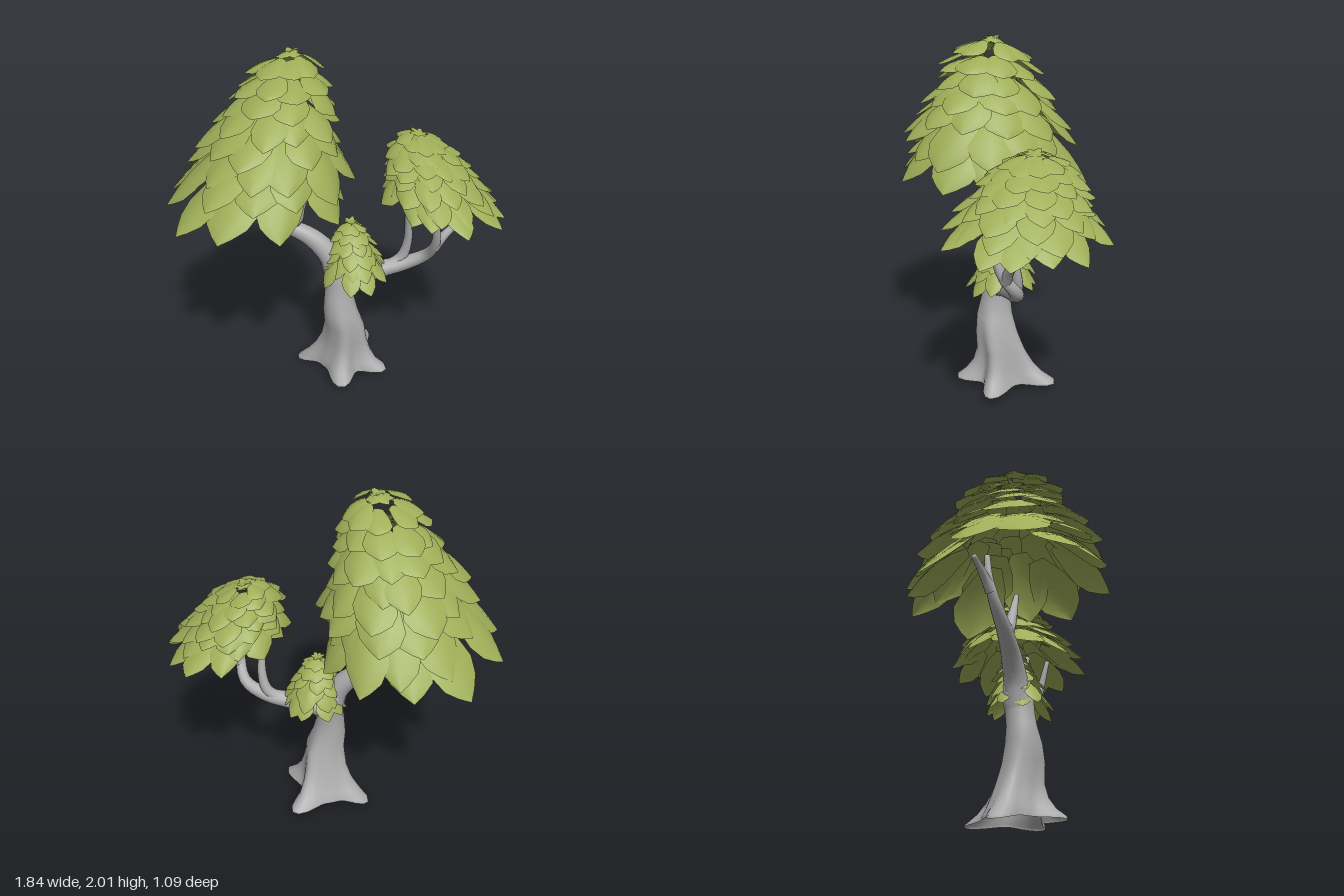
import * as THREE from 'three';
import { mergeGeometries } from 'three/addons/utils/BufferGeometryUtils.js';

const lerp = THREE.MathUtils.lerp;

function seeded(seed) {
  return () => {
    seed = (seed * 16807) % 2147483647;
    return seed / 2147483647;
  };
}

// Grid of points (rows of Vector3) to a smooth surface
function gridGeometry(rows, wrap) {
  const n = rows[0].length, pos = [], index = [];
  rows.forEach(row => row.forEach(p => pos.push(p.x, p.y, p.z)));
  for (let i = 0; i < rows.length - 1; i++) {
    for (let j = 0; j < (wrap ? n : n - 1); j++) {
      const a = i * n + j, b = i * n + (j + 1) % n;
      index.push(a, b, a + n, b, b + n, a + n);
    }
  }
  const g = new THREE.BufferGeometry();
  g.setAttribute('position', new THREE.Float32BufferAttribute(pos, 3));
  g.setIndex(index);
  g.computeVertexNormals();
  return g;
}

// Trunk: hollow round rings that spread into four root lobes at the ground
function trunkGeometry() {
  const roots = [[0.26, 0.16, 0], [-0.02, 0.3, 0], [-0.27, -0.07, 0.045], [0.18, -0.25, 0]];
  // y, centre x, centre z, radius, root spread
  const levels = [
    [0.045, 0, 0, 0.15, 1], [0.06, 0, 0, 0.15, 0.97],
    [0.1, 0, 0.01, 0.14, 0.62], [0.16, 0.01, 0.02, 0.128, 0.36], [0.24, 0.015, 0.035, 0.116, 0.2],
    [0.35, 0.015, 0.06, 0.11, 0.1], [0.45, -0.01, 0.068, 0.1, 0.03], [0.55, -0.02, 0.06, 0.085, 0],
    [0.64, -0.015, 0.05, 0.082, 0], [0.71, -0.02, 0.04, 0.088, 0], [0.78, -0.04, 0.03, 0.07, 0],
    [0.82, -0.06, 0.03, 0, 0],
  ];
  const sides = 48;
  const rows = levels.map(([y, cx, cz, r, spread]) => {
    const row = [];
    for (let j = 0; j < sides; j++) {
      const a = j / sides * Math.PI * 2;
      let radius = r, dip = 0;
      for (const [rx, rz, low] of roots) {
        let d = a - Math.atan2(-rz, rx);
        d = Math.atan2(Math.sin(d), Math.cos(d));
        const lobe = Math.exp(-((d / 0.36) ** 2)) * spread;
        radius += lobe * (Math.hypot(rx, rz) - 0.15);
        dip += lobe * low;
      }
      row.push(new THREE.Vector3(cx + Math.cos(a) * radius, y - dip, cz - Math.sin(a) * radius));
    }
    return row;
  });
  return gridGeometry(rows, true);
}

// Branch: tapering tube along a curve, rounded off at the tip
function branchGeometry(points, r0, r1) {
  const curve = new THREE.CatmullRomCurve3(points.map(p => new THREE.Vector3(...p)));
  const steps = 24, sides = 12;
  const { normals, binormals } = curve.computeFrenetFrames(steps);
  const rows = [];
  for (let i = 0; i <= steps + 1; i++) {
    const k = Math.min(i, steps), c = curve.getPointAt(k / steps);
    const r = i > steps ? 0 : lerp(r0, r1, Math.pow(k / steps, 0.85));
    rows.push(Array.from({ length: sides }, (_, j) => {
      const a = j / sides * Math.PI * 2;
      return c.clone().addScaledVector(normals[k], Math.cos(a) * r).addScaledVector(binormals[k], Math.sin(a) * r);
    }));
  }
  return gridGeometry(rows, true);
}

// Leaf: a pointed, gently arched blade ending at a given radius and drop
const BLADE = [[0, 0.35], [0.3, 0.8], [0.56, 1], [0.76, 0.8], [0.9, 0.4], [1, 0.02]];
function leafRows(angle, radius, drop, length, width, pitch) {
  const out = new THREE.Vector3(Math.cos(angle), 0, Math.sin(angle));
  const side = new THREE.Vector3(Math.sin(angle), 0, -Math.cos(angle));
  const dir = out.clone().multiplyScalar(Math.cos(pitch)).setY(-Math.sin(pitch));
  const up = out.clone().multiplyScalar(Math.sin(pitch)).setY(Math.cos(pitch));
  const tip = out.clone().multiplyScalar(radius).setY(-drop);
  return BLADE.map(([s, w]) => [-1, -0.5, 0, 0.5, 1].map(u => tip.clone()
    .addScaledVector(dir, (s - 1) * length)
    .addScaledVector(side, u * w * width / 2)
    .addScaledVector(up, 0.2 * length * s * (1 - s) - 0.12 * width * u * u * w)));
}

// Canopy: overlapping rings of leaves, leaned and tilted from its apex
function canopyGeometry(o) {
  const rand = seeded(o.seed), leaves = [];
  const vary = amount => (rand() - 0.5) * amount;
  for (let i = 0; i < o.rings; i++) {
    const f = i / (o.rings - 1);
    const count = Math.round(lerp(6, o.count, Math.sqrt(f)));
    const r = 0.15 + 0.85 * Math.pow(f, 0.57);
    const length = lerp(o.leaf[0], o.leaf[1], f);
    const width = Math.max(2 * Math.PI * r * o.radius * 0.92 / count, length * 0.55);
    for (let j = 0; j < count; j++) {
      const angle = (j + (i % 2) * 0.5 + vary(0.6)) / count * Math.PI * 2 + i * 0.3;
      const rows = leafRows(angle, r * o.radius * (1 + vary(0.16)),
        0.03 * o.height / 0.84 + o.height * (Math.pow(f, 1.15) + vary(0.12) * f),
        length * (1 + vary(0.2)), width * (1 + vary(0.2)),
        lerp(o.pitch[0], o.pitch[1], Math.pow(f, 0.6)) + vary(0.16));
      rows.flat().forEach(p => {
        p.x *= o.stretch[0];
        p.z *= o.stretch[1];
        const drop = -p.y;
        p.y += p.x * o.tilt[0] + p.z * o.tilt[1];
        p.x += o.apex[0] + drop * o.lean[0];
        p.z += o.apex[2] + drop * o.lean[1];
        p.y += o.apex[1];
      });
      leaves.push(gridGeometry(rows, false));
    }
  }
  return mergeGeometries(leaves);
}

export function createModel() {
  const bark = new THREE.MeshStandardMaterial({ color: 0xacacac, side: THREE.DoubleSide });
  bark.name = 'greyBark';
  const foliage = new THREE.MeshStandardMaterial({ color: 0x9fae58, side: THREE.DoubleSide });
  foliage.name = 'leafGreen';

  const tree = new THREE.Group();
  tree.name = 'tree';
  const add = (name, geometry, material) => {
    const mesh = new THREE.Mesh(geometry, material);
    mesh.name = name;
    tree.add(mesh);
  };

  add('trunk', trunkGeometry(), bark);

  // Limbs and twigs under the two large canopies
  const branches = {
    rightLimb: [[[-0.02, 0.66, 0.045], [-0.07, 0.8, 0.03], [-0.17, 0.91, 0.01], [-0.32, 0.99, -0.02],
      [-0.44, 1.08, -0.06], [-0.5, 1.19, -0.09], [-0.51, 1.33, -0.1]], 0.082, 0.015],
    rightInnerTwig: [[[-0.33, 0.99, -0.02], [-0.26, 1.02, 0], [-0.23, 1.12, 0.02], [-0.16, 1.28, 0.04]], 0.045, 0.014],
    rightOuterTwig: [[[-0.48, 1.13, -0.08], [-0.53, 1.19, -0.11], [-0.63, 1.26, -0.16]], 0.032, 0.014],
    leftLimb: [[[-0.02, 0.62, 0.05], [0.09, 0.665, 0.045], [0.22, 0.695, 0.03], [0.36, 0.73, 0.03],
      [0.48, 0.8, 0.06], [0.515, 0.92, 0.14], [0.49, 1.16, 0.21]], 0.07, 0.014],
    leftInnerTwig: [[[0.25, 0.7, 0.03], [0.34, 0.76, 0.02], [0.375, 0.88, 0.035], [0.355, 1.13, 0.09]], 0.04, 0.014],
    leftOuterTwig: [[[0.51, 0.88, 0.12], [0.58, 0.97, 0.11], [0.75, 1.11, 0.07]], 0.032, 0.012],
  };
  for (const [name, args] of Object.entries(branches)) add(name, branchGeometry(...args), bark);

  // Three leaf canopies
  add('largeCanopy', canopyGeometry({
    seed: 71, apex: [-0.26, 1.995, 0.02], radius: 0.57, height: 0.82, rings: 9, count: 11,
    leaf: [0.13, 0.46], pitch: [0.28, 0.82], stretch: [0.86, 1], lean: [-0.23, -0.02], tilt: [0, 0.1],
  }), foliage);
  add('mediumCanopy', canopyGeometry({
    seed: 1234, apex: [0.42, 1.505, -0.05], radius: 0.4, height: 0.37, rings: 8, count: 12,
    leaf: [0.11, 0.29], pitch: [0.22, 0.66], stretch: [0.88, 1.05], lean: [0.37, 0.22], tilt: [-0.14, 0],
  }), foliage);
  add('smallCanopy', canopyGeometry({
    seed: 555, apex: [0.05, 1.015, 0.02], radius: 0.2, height: 0.35, rings: 7, count: 10,
    leaf: [0.07, 0.19], pitch: [0.3, 0.95], stretch: [1, 0.97], lean: [0.07, 0.07], tilt: [0, 0],
  }), foliage);

  return tree;
}
